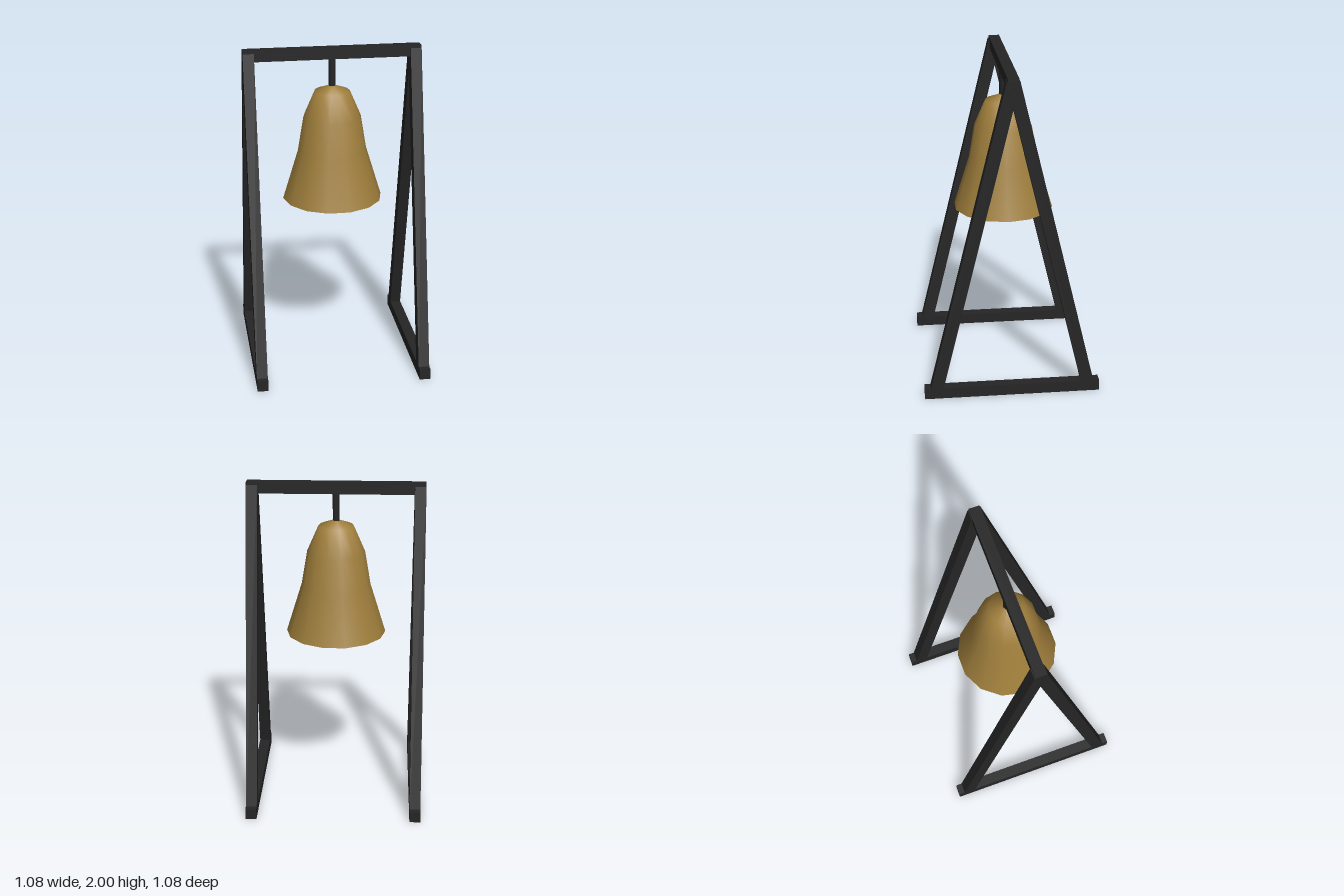
import * as THREE from 'three';

export function createModel() {
  const model = new THREE.Group();
  model.name = 'hangingBell';

  const iron = new THREE.MeshStandardMaterial({ color: 0x252526 });
  iron.name = 'blackIron';
  const brass = new THREE.MeshStandardMaterial({ color: 0xa07f3c, side: THREE.DoubleSide });
  brass.name = 'brass';

  const add = (name, geometry, material, x = 0, y = 0, z = 0) => {
    const mesh = new THREE.Mesh(geometry, material);
    mesh.name = name;
    mesh.position.set(x, y, z);
    model.add(mesh);
    return mesh;
  };

  const BAR = 0.067; // thickness of the frame bars
  const SIDE_X = 0.505; // centre of each side frame

  // Leaning leg: an upright box sheared so its ends stay level
  const legGeometry = (side) => {
    const bottom = 0.002, top = 1.985, apex = 1.942, lean = 0.2468;
    const g = new THREE.BoxGeometry(BAR, top - bottom, 0.077);
    g.translate(0, (top + bottom) / 2, 0);
    const p = g.attributes.position;
    for (let i = 0; i < p.count; i++) {
      p.setZ(i, p.getZ(i) + side * lean * Math.max(apex - p.getY(i), 0));
    }
    g.computeVertexNormals();
    return g;
  };

  // Frame: two A-shaped sides joined by a top beam
  for (const [label, s] of [['left', 1], ['right', -1]]) {
    add(label + 'Foot', new THREE.BoxGeometry(BAR, 0.068, 1.076), iron, s * SIDE_X, 0.034, 0);
    add(label + 'FrontLeg', legGeometry(1), iron, s * SIDE_X);
    add(label + 'BackLeg', legGeometry(-1), iron, s * SIDE_X);
  }
  add('topBeam', new THREE.BoxGeometry(1.077, BAR, BAR), iron, 0, 2 - BAR / 2, 0);

  // Rod that hangs the bell from the beam
  add('hangerRod', new THREE.CylinderGeometry(0.023, 0.023, 0.2, 6), iron, 0, 1.85, 0);

  // Open bell shell, 14-sided with smooth shading
  const profile = [[0.307, 1.05], [0.212, 1.36], [0.177, 1.57], [0.108, 1.73], [0, 1.772]]
    .map(([r, y]) => new THREE.Vector2(r, y));
  add('bell', new THREE.LatheGeometry(profile, 14, Math.PI / 2), brass);

  // Six-sided clapper below the rim
  const clapper = new THREE.CylinderGeometry(0.046, 0.046, 0.44, 6).toNonIndexed();
  clapper.computeVertexNormals();
  add('clapper', clapper, brass, 0, 1.18, 0);

  return model;
}
